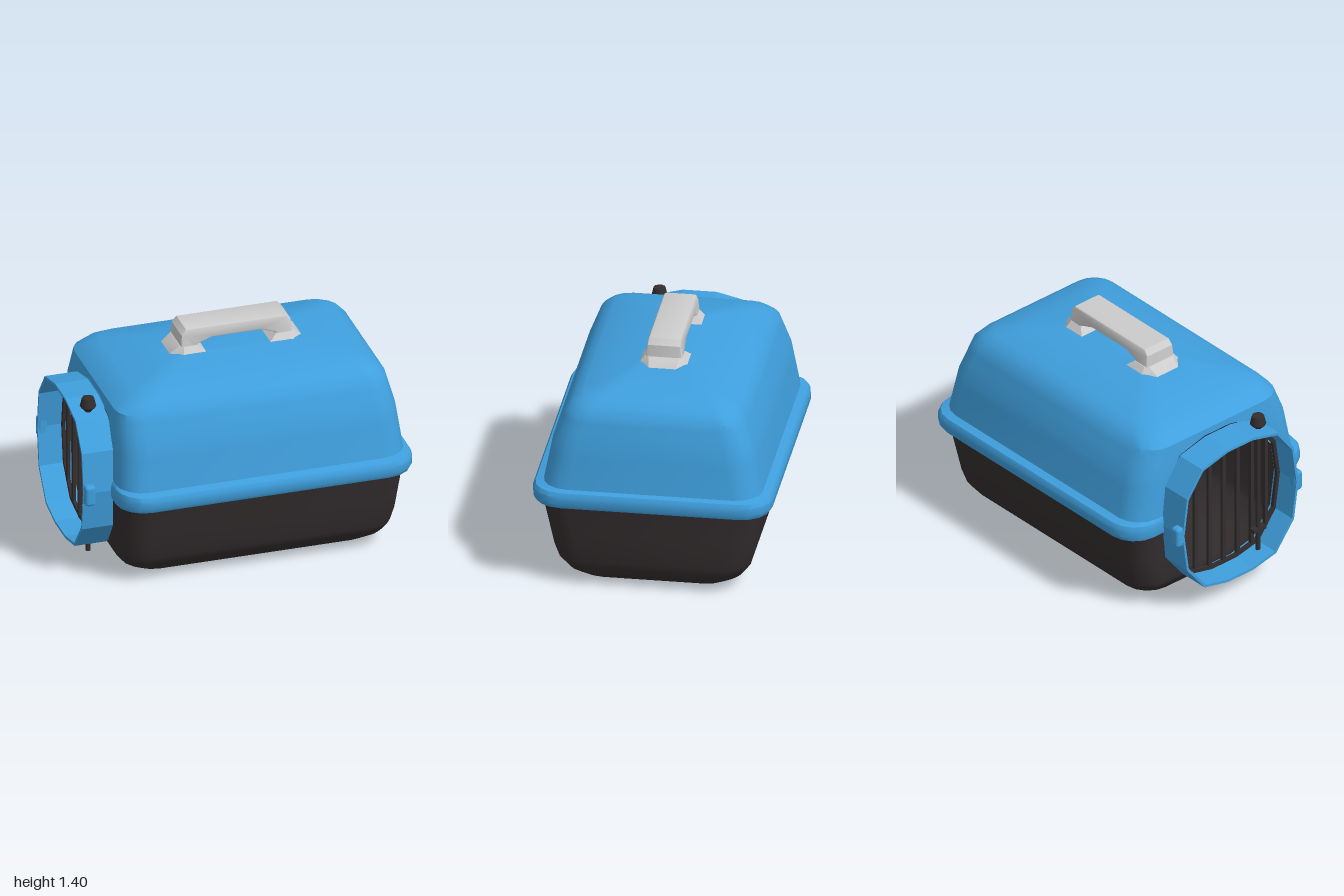
import * as THREE from 'three';
import { toCreasedNormals } from 'three/addons/utils/BufferGeometryUtils.js';
import { RoundedBoxGeometry } from 'three/addons/geometries/RoundedBoxGeometry.js';

const blue = new THREE.MeshStandardMaterial({ color: 0x3f9fdd, side: THREE.DoubleSide });
const dark = new THREE.MeshStandardMaterial({ color: 0x332d2e, side: THREE.DoubleSide });
const grey = new THREE.MeshStandardMaterial({ color: 0xcccccc });

// Doorway outline, half width at each height
const DOOR = [[0.13, 0.1], [0.17, 0.28], [0.35, 0.42], [0.6, 0.455], [0.85, 0.42], [1.01, 0.3], [1.06, 0.1]];

// Shell sections: y, left x, right x, half depth, corner radius
const TUB = [
  [0, -0.58, 0.69, 0.385, 0.14], [0.03, -0.68, 0.81, 0.45, 0.15], [0.08, -0.74, 0.872, 0.52, 0.16],
  [0.145, -0.785, 0.9, 0.57, 0.16], [0.24, -0.8, 0.918, 0.6, 0.16], [0.54, -0.818, 0.947, 0.66, 0.16],
];
const LID = [
  [0.54, -0.818, 0.95, 0.66, 0.16], [0.545, -0.825, 0.985, 0.7, 0.17], [0.57, -0.83, 0.997, 0.714, 0.18],
  [0.62, -0.83, 0.997, 0.714, 0.18], [0.643, -0.825, 0.985, 0.7, 0.17], [0.655, -0.815, 0.957, 0.652, 0.16],
  [0.92, -0.805, 0.925, 0.602, 0.16], [1.1, -0.79, 0.882, 0.53, 0.15], [1.15, -0.73, 0.84, 0.49, 0.14],
  [1.185, -0.65, 0.785, 0.435, 0.12], [1.22, -0.47, 0.64, 0.28, 0.08], [1.257, -0.3, 0.41, 0.14, 0.04],
];

// Linear lookup in a table sorted by its first column
function sample(table, y) {
  if (y <= table[0][0]) return table[0];
  for (let i = 1; i < table.length; i++) {
    if (y <= table[i][0]) {
      const a = table[i - 1], b = table[i], t = (y - a[0]) / (b[0] - a[0]);
      return a.map((v, k) => v + (b[k] - v) * t);
    }
  }
  return table[table.length - 1];
}

// Joins rings of points; skip(j, i) leaves a quad open
function loft(rings, { capStart = false, capEnd = false, skip = () => false, crease = 0.6 } = {}) {
  const pos = [], idx = [], n = rings[0].length;
  rings.forEach(r => r.forEach(p => pos.push(...p)));
  for (let j = 0; j < rings.length - 1; j++) {
    for (let i = 0; i < n; i++) {
      if (skip(j, i)) continue;
      const a = j * n + i, b = j * n + (i + 1) % n;
      idx.push(a, b, b + n, a, b + n, a + n);
    }
  }
  const top = (rings.length - 1) * n;
  for (let i = 1; i < n - 1; i++) {
    if (capStart) idx.push(0, i + 1, i);
    if (capEnd) idx.push(top, top + i, top + i + 1);
  }
  const g = new THREE.BufferGeometry();
  g.setAttribute('position', new THREE.Float32BufferAttribute(pos, 3));
  g.setIndex(idx);
  return toCreasedNormals(g, crease);
}

// Rounded rectangle whose left side ends at the doorway edge
function shellRing([y, xl, xr, zh, r]) {
  const hz = sample(DOOR, y)[1], pts = [[xl, y, hz]], steps = 4;
  const corners = [[xl + r, zh - r, Math.PI], [xr - r, zh - r, Math.PI / 2], [xr - r, r - zh, 0], [xl + r, r - zh, -Math.PI / 2]];
  for (const [cx, cz, start] of corners) {
    for (let k = 0; k <= steps; k++) {
      const a = start - (k / steps) * Math.PI / 2;
      pts.push([cx + r * Math.cos(a), y, cz + r * Math.sin(a)]);
    }
  }
  pts.push([xl, y, -hz]);
  return pts;
}

function shell(table, caps) {
  const lo = table[0][0], hi = table[table.length - 1][0];
  const ys = table.map(r => r[0]);
  for (const [y] of DOOR) if (y > lo && y < hi && !ys.includes(y)) ys.push(y);
  ys.sort((a, b) => a - b);
  const rings = ys.map(y => shellRing(sample(table, y)));
  const last = rings[0].length - 1;
  return loft(rings, { ...caps, skip: (j, i) => i === last && ys[j] >= 0.13 && ys[j + 1] <= 1.06 });
}

// Ring in the doorway outline, extruded towards -x
function doorRing(outer, inner, x, depth) {
  const outline = s => [...DOOR.map(([y, z]) => [z, y]), ...DOOR.map(([y, z]) => [-z, y]).reverse()]
    .map(([z, y]) => new THREE.Vector2(z * s, 0.6 + (y - 0.6) * s));
  const shape = new THREE.Shape(outline(outer));
  shape.holes.push(new THREE.Path(outline(inner)));
  const g = new THREE.ExtrudeGeometry(shape, { depth, bevelEnabled: false });
  g.rotateY(-Math.PI / 2).translate(x, 0, 0);
  return g;
}

export function createModel() {
  const model = new THREE.Group();
  const add = (name, geometry, material, x = 0, y = 0, z = 0, parent = model) => {
    const m = new THREE.Mesh(geometry, material);
    m.name = name;
    m.position.set(x, y, z);
    parent.add(m);
    return m;
  };

  // Body halves
  add('lowerShell', shell(TUB, { capStart: true }), dark);
  add('upperShell', shell(LID, { capEnd: true }), blue);

  // Door surround with a hinge lug on each side
  add('doorFrame', doorRing(1, 0.965, -0.8, 0.2), blue);
  for (const s of [1, -1]) {
    add('hingeLug', new RoundedBoxGeometry(0.065, 0.13, 0.06, 2, 0.02), blue, -0.9665, 0.595, s * 0.463);
  }

  // Barred door
  const door = new THREE.Group();
  door.name = 'door';
  model.add(door);
  add('doorRim', doorRing(0.96, 0.91, -0.835, 0.02), dark, 0, 0, 0, door);
  const half = [...DOOR].reverse().map(([y, z]) => [z, y]);
  for (let i = -3; i <= 3; i++) {
    const z = i * 0.11;
    const top = sample(half.slice(0, 4), Math.abs(z))[1] - 0.03;
    const bottom = sample(DOOR.slice(0, 4).map(([y, w]) => [w, y]), Math.abs(z))[1] + 0.03;
    add('doorBar', new THREE.BoxGeometry(0.02, top - bottom, 0.024), dark, -0.845, (top + bottom) / 2, z, door);
  }

  // Sliding latch rod, thumb lever and knob
  const zRod = 0.225;
  add('latchRod', new THREE.CylinderGeometry(0.015, 0.015, 0.95, 8), dark, -0.9, 0.575, zRod);
  add('latchLever', new THREE.BoxGeometry(0.04, 0.025, 0.1), dark, -0.9, 0.32, zRod);
  const knob = [[0, 1], [0.02, 1], [0.02, 1.03], [0.049, 1.06], [0.036, 1.115], [0, 1.115]];
  const knobGeometry = new THREE.LatheGeometry(knob.map(p => new THREE.Vector2(...p)), 10);
  add('latchKnob', toCreasedNormals(knobGeometry, 0.7), dark, -0.9, 0, zRod);

  // Carrying handle: bevelled arch, narrowing slightly upwards
  const xMid = 0.057;
  const side = [[0.335, 1.25], [0.328, 1.36], [0.305, 1.386], [-0.305, 1.386], [-0.328, 1.36], [-0.335, 1.25],
    [-0.25, 1.25], [-0.25, 1.305], [-0.15, 1.338], [0.15, 1.338], [0.25, 1.305], [0.25, 1.25]];
  const arch = new THREE.ExtrudeGeometry(new THREE.Shape(side.map(p => new THREE.Vector2(...p))),
    { depth: 0.18, bevelThickness: 0.015, bevelSize: 0.012, bevelSegments: 2 });
  arch.translate(0, 0, -0.09);
  const p = arch.attributes.position;
  for (let i = 0; i < p.count; i++) p.setZ(i, p.getZ(i) * (1.06 - Math.max(0, p.getY(i) - 1.28) * 1.1));
  add('handleGrip', toCreasedNormals(arch, 0.5), grey, xMid);

  // Flared handle feet with chamfered outer corners
  for (const s of [1, -1]) {
    const foot = (y, x0, x1, z, c) => [[x0, z], [x1 - c, z], [x1, z - c], [x1, c - z], [x1 - c, -z], [x0, -z]]
      .map(([x, w]) => [xMid + s * x, y, s * w]);
    const rings = [foot(1.225, 0.18, 0.42, 0.15, 0.07), foot(1.25, 0.19, 0.405, 0.146, 0.065), foot(1.293, 0.24, 0.348, 0.112, 0.02)];
    add('handleFoot', loft(rings, { capStart: true, capEnd: true, crease: 0.4 }), grey);
  }
  return model;
}
